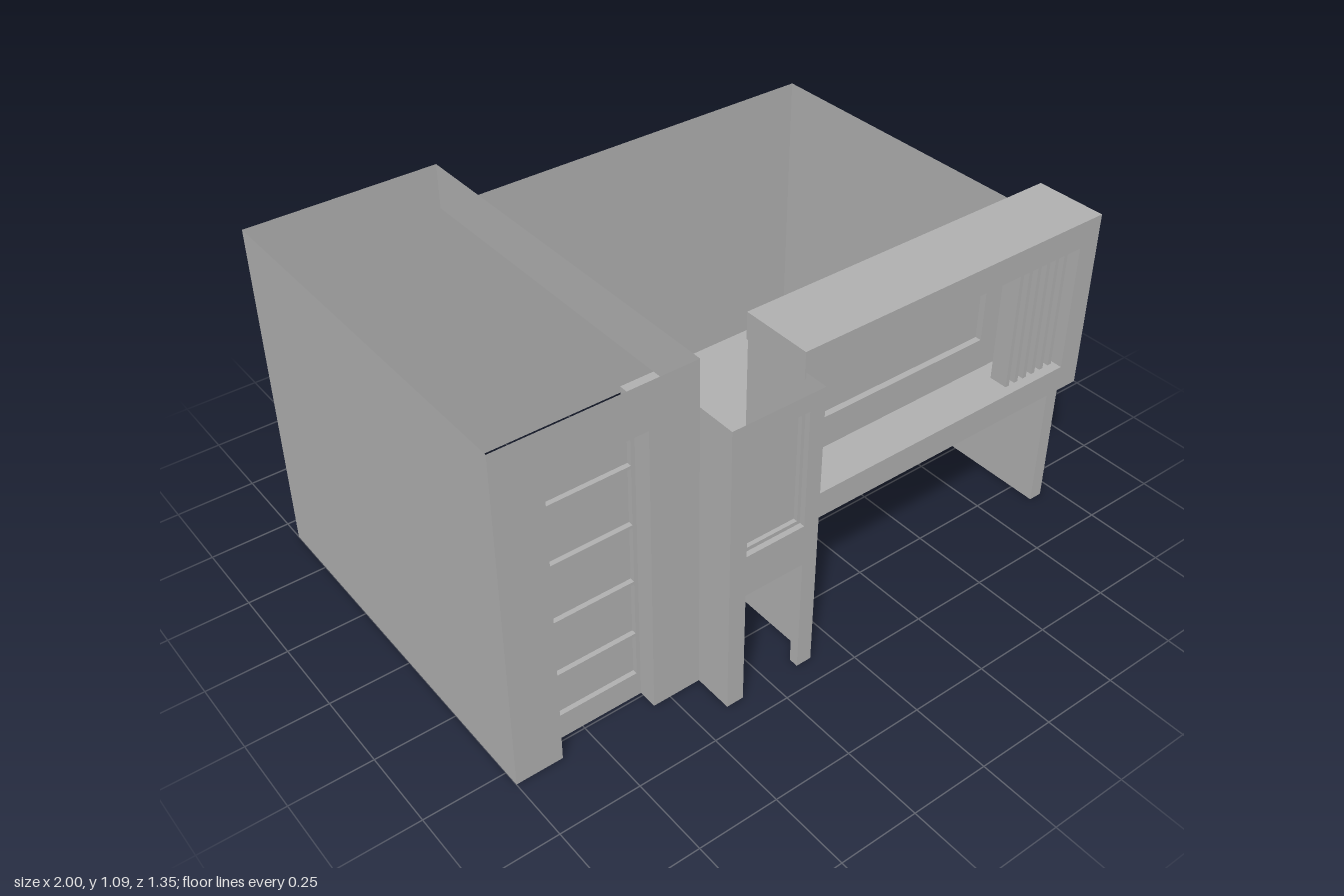
import * as THREE from 'three';

export function createModel() {
  const house = new THREE.Group();
  house.name = 'house';
  const grey = new THREE.MeshStandardMaterial({ color: 0xb2b2b2, side: THREE.DoubleSide });
  grey.name = 'plaster grey';

  const add = (name, geometry) => {
    const mesh = new THREE.Mesh(geometry, grey);
    mesh.name = name;
    house.add(mesh);
    return mesh;
  };
  const box = (name, x0, x1, y0, y1, z0, z1) =>
    add(name, new THREE.BoxGeometry(x1 - x0, y1 - y0, z1 - z0))
      .position.set((x0 + x1) / 2, (y0 + y1) / 2, (z0 + z1) / 2);

  // Outline from points, with rectangular holes [u0, u1, v0, v1]
  const outline = (points, holes = []) => {
    const shape = new THREE.Shape(points.map(p => new THREE.Vector2(...p)));
    for (const [a, b, c, d] of holes) {
      shape.holes.push(new THREE.Path([[a, c], [a, d], [b, d], [b, c]].map(p => new THREE.Vector2(...p))));
    }
    return shape;
  };
  const rect = (a, b, c, d) => [[a, c], [b, c], [b, d], [a, d]];

  // Thin walls: facing z (x, y), facing x (z, y) and level (x, z)
  const wallZ = (name, z, points, holes) =>
    add(name, new THREE.ShapeGeometry(outline(points, holes)).translate(0, 0, z));
  const wallX = (name, x, points, holes) =>
    add(name, new THREE.ShapeGeometry(outline(points, holes)).rotateY(-Math.PI / 2).translate(x, 0, 0));
  const slab = (name, y, points) =>
    add(name, new THREE.ShapeGeometry(outline(points)).rotateX(Math.PI / 2).translate(0, y, 0));

  // Four thin sides lining an opening from z0 to z1
  const reveal = (name, x0, x1, y0, y1, z0, z1, open = false) => {
    wallX(name + 'Left', x0, rect(z0, z1, y0, y1));
    wallX(name + 'Right', x1, rect(z0, z1, y0, y1));
    slab(name + 'Head', y1, rect(x0, x1, z0, z1));
    if (!open) slab(name + 'Sill', y0, rect(x0, x1, z0, z1));
  };

  // Outer shell, open at the top
  wallZ('backWall', -0.675, [[-1, 0], [0.95, 0], [0.95, 0.945], [-0.4, 0.945], [-0.4, 1.09], [-1, 1.09]]);
  wallX('towerSideWall', -1, rect(-0.675, 0.55, 0, 1.09));
  wallX('towerParapet', -0.4, rect(-0.675, 0.55, 0.945, 1.09));
  wallX('rightWallRear', 0.95, [[-0.675, 0], [-0.24, 0], [-0.24, 0.43], [0.37, 0.43], [0.37, 0.945], [-0.675, 0.945]]);

  // Tower front with its tall glazed door
  wallZ('towerFront', 0.55, [[-1, 0], [-0.855, 0], [-0.855, 0.945], [-0.555, 0.945], [-0.555, 0], [-0.4, 0], [-0.4, 1.09], [-1, 1.09]]);
  reveal('doorReveal', -0.855, -0.555, 0, 0.945, 0.49, 0.55, true);
  wallZ('doorSurround', 0.49, rect(-0.855, -0.555, 0, 0.945), [[-0.842, -0.568, 0.085, 0.932]]);
  reveal('doorFrame', -0.842, -0.568, 0.085, 0.932, 0.47, 0.49);
  wallZ('doorGlass', 0.475, rect(-0.842, -0.568, 0.085, 0.932));
  for (const y of [0.23, 0.417, 0.61, 0.802]) {
    box('doorBar', -0.842, -0.568, y - 0.005, y + 0.005, 0.47, 0.49);
  }

  // Middle bay with a window above an open doorway
  wallZ('bayFront', 0.675,
    [[-0.4, 0], [-0.345, 0], [-0.345, 0.38], [-0.15, 0.38], [-0.15, 0], [-0.1, 0], [-0.1, 0.945], [-0.4, 0.945]],
    [[-0.345, -0.15, 0.515, 0.89]]);
  wallX('bayLeftWall', -0.4, rect(0.55, 0.675, 0, 0.945));
  wallX('bayRightWall', -0.1, [[-0.22, 0], [0.675, 0], [0.675, 0.945], [0.37, 0.945], [0.37, 0.43], [-0.22, 0.43]]);
  reveal('bayDoorReveal', -0.345, -0.15, 0, 0.38, 0.645, 0.675, true);
  reveal('bayWindowReveal', -0.345, -0.15, 0.515, 0.89, 0.658, 0.675);
  wallZ('bayWindowFrame', 0.658, rect(-0.345, -0.15, 0.515, 0.89), [[-0.334, -0.161, 0.527, 0.879]]);
  reveal('bayWindowInner', -0.334, -0.161, 0.527, 0.879, 0.645, 0.658);
  wallZ('bayWindowGlass', 0.645, rect(-0.334, -0.161, 0.527, 0.879));

  // Carport: back wall, ceiling and a thick side wall with a long slot
  wallZ('carportBackWall', -0.22, rect(-0.1, 0.905, 0, 0.43));
  slab('carportCeiling', 0.43, rect(-0.1, 0.905, -0.22, 0.37));
  const slotted = outline(rect(-0.24, 0.58, 0, 0.43), [[-0.225, 0.373, 0.285, 0.365]]);
  add('carportSideWall', new THREE.ExtrudeGeometry(slotted, { depth: 0.045, bevelEnabled: false })
    .rotateY(-Math.PI / 2).translate(0.95, 0, 0));

  // Projecting frame around the upper window
  const frame = outline([[-0.105, 0.43], [1, 0.43], [1, 1.01], [-0.105, 1.01], [-0.105, 0.925],
    [0.925, 0.925], [0.925, 0.515], [-0.105, 0.515]]);
  add('upperFrame', new THREE.ExtrudeGeometry(frame, { depth: 0.23, bevelEnabled: false }).translate(0, 0, 0.37));

  // Upper window wall and glass
  wallZ('upperWindowWall', 0.455, rect(-0.1, 0.925, 0.515, 0.925), [[-0.04, 0.72, 0.62, 0.89]]);
  reveal('upperWindowReveal', -0.04, 0.72, 0.62, 0.89, 0.435, 0.455);
  wallZ('upperWindowGlass', 0.435, rect(-0.04, 0.72, 0.62, 0.89));

  // Vertical louvres beside the window
  for (let i = 0; i < 6; i++) {
    const x = 0.72 + i * 0.036;
    box('louvre', x, x + 0.014, 0.515, 0.925, 0.51, 0.57);
  }
  return house;
}
